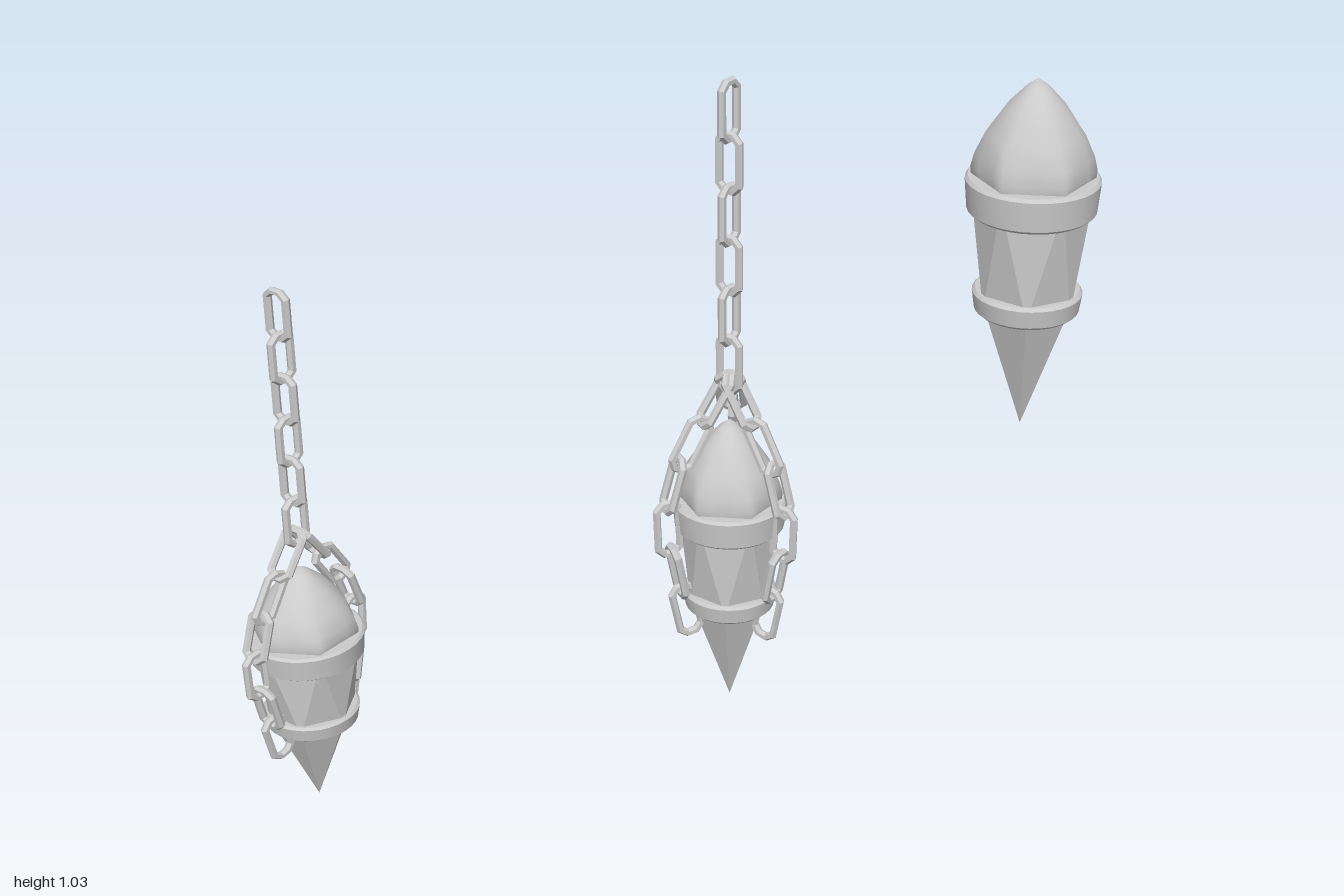
import * as THREE from 'three';
import { mergeVertices, toCreasedNormals } from 'three/addons/utils/BufferGeometryUtils.js';

const smooth = new THREE.MeshStandardMaterial({ color: 0xcccccc });
const faceted = new THREE.MeshStandardMaterial({ color: 0xcccccc, flatShading: true });

function add(parent, name, geometry, material) {
  const mesh = new THREE.Mesh(geometry, material);
  mesh.name = name;
  parent.add(mesh);
  return mesh;
}

const lathe = (points, sides) =>
  new THREE.LatheGeometry(points.map(([r, y]) => new THREE.Vector2(r, y)), sides);

// Band with a slightly flared, bevelled outer face
function bandGeometry(inner, outer, y0, y1) {
  const b = 0.006;
  return toCreasedNormals(lathe([
    [inner, y0], [outer - 0.012, y0], [outer - 0.005, y0 + b],
    [outer, y1 - b], [outer - 0.005, y1], [inner, y1],
  ], 32), 0.6);
}

// Pointed dome: hexagonal at the foot, round towards the tip
function domeGeometry() {
  const g = lathe([
    [0.1, 0.45], [0.108, 0.475], [0.11, 0.495], [0.104, 0.52],
    [0.086, 0.56], [0.05, 0.612], [0.02, 0.645], [0, 0.66],
  ], 24);
  const p = g.attributes.position;
  const step = Math.PI / 3;
  for (let i = 0; i < p.count; i++) {
    const x = p.getX(i), y = p.getY(i), z = p.getZ(i);
    const t = Math.atan2(x, z) + Math.PI * 2 + step / 2;
    const hex = Math.cos(step / 2) / Math.cos((t % step) - step / 2);
    const blend = THREE.MathUtils.clamp((0.58 - y) / 0.08, 0, 1);
    const f = THREE.MathUtils.lerp(1, hex, blend);
    p.setXYZ(i, x * f, y, z * f);
  }
  g.deleteAttribute('uv');
  g.deleteAttribute('normal');
  const merged = mergeVertices(g);
  merged.computeVertexNormals();
  return merged;
}

// Body: two hexagons turned by 30 degrees, joined by triangles
function bodyGeometry(rBottom, rTop, y0, y1) {
  const corner = (i, r, y) => {
    const a = i * Math.PI / 3;
    return [Math.sin(a) * r, y, Math.cos(a) * r];
  };
  const pos = [];
  for (let i = 0; i < 6; i++) {
    const b0 = corner(i, rBottom, y0), b1 = corner(i + 1, rBottom, y0);
    const t0 = corner(i + 0.5, rTop, y1), t1 = corner(i + 1.5, rTop, y1);
    pos.push(...b0, ...b1, ...t0, ...t0, ...b1, ...t1);
  }
  const g = new THREE.BufferGeometry();
  g.setAttribute('position', new THREE.Float32BufferAttribute(pos, 3));
  g.computeVertexNormals();
  return g;
}

// Chain link: octagonal ring stretched along y
function linkGeometry() {
  const g = new THREE.TorusGeometry(0.026, 0.009, 6, 8);
  g.rotateZ(Math.PI / 8);
  const p = g.attributes.position;
  for (let i = 0; i < p.count; i++) p.setY(i, p.getY(i) + Math.sign(p.getY(i)) * 0.034);
  g.computeVertexNormals();
  return g;
}

const geo = {
  dome: domeGeometry(),
  upperBand: bandGeometry(0.08, 0.119, 0.415, 0.482),
  body: bodyGeometry(0.088, 0.108, 0.24, 0.46),
  lowerBand: bandGeometry(0.06, 0.098, 0.225, 0.27),
  spike: new THREE.ConeGeometry(0.088, 0.25, 6).rotateX(Math.PI).translate(0, 0.125, 0),
  link: linkGeometry(),
};

// Lantern standing on the tip of its spike
function lantern(name) {
  const g = new THREE.Group();
  g.name = name;
  add(g, 'dome', geo.dome, smooth);
  add(g, 'upperBand', geo.upperBand, smooth);
  add(g, 'body', geo.body, faceted);
  add(g, 'lowerBand', geo.lowerBand, smooth);
  add(g, 'spike', geo.spike, faceted);
  return g;
}

// Radius and height of the links that wrap down the side of a lantern
const strandPath = [[0.03, 0.71], [0.085, 0.62], [0.125, 0.535], [0.137, 0.435], [0.118, 0.33], [0.098, 0.235]];

function chains(strandCount) {
  const g = new THREE.Group();
  g.name = 'chains';
  // Hanging chain
  for (let i = 0; i < 6; i++) {
    const link = add(g, 'hangingLink', geo.link, faceted);
    link.position.y = 1.324 - i * 0.108;
    link.rotation.y = (i % 2) * Math.PI / 2;
  }
  // Strands spread evenly around the lantern
  for (let s = 0; s < strandCount; s++) {
    const strand = new THREE.Group();
    strand.name = 'sideStrand';
    strand.rotation.y = s * Math.PI * 2 / strandCount;
    strandPath.forEach(([r, y], i) => {
      const before = strandPath[Math.max(i - 1, 0)];
      const after = strandPath[Math.min(i + 1, strandPath.length - 1)];
      const link = add(strand, 'strandLink', geo.link, faceted);
      link.position.set(0, y, r);
      link.rotation.set(Math.atan2(before[0] - after[0], before[1] - after[1]), (i % 2) * Math.PI / 2, 0);
    });
    g.add(strand);
  }
  return g;
}

export function createModel() {
  const model = new THREE.Group();
  model.name = 'lanternSet';

  const large = lantern('largeLantern');
  large.position.set(0.876, 0.12, 0);

  const middle = lantern('middleLantern');
  middle.add(chains(3));
  middle.position.set(-0.016, 0.005, 0);
  middle.scale.setScalar(0.74);

  const small = lantern('smallLantern');
  const smallChains = chains(2);
  smallChains.rotation.y = Math.PI / 2;
  small.add(smallChains);
  small.position.set(-0.907, 0.32, 0);
  small.scale.set(0.62, 0.51, 0.62);

  model.add(large, middle, small);
  return model;
}
